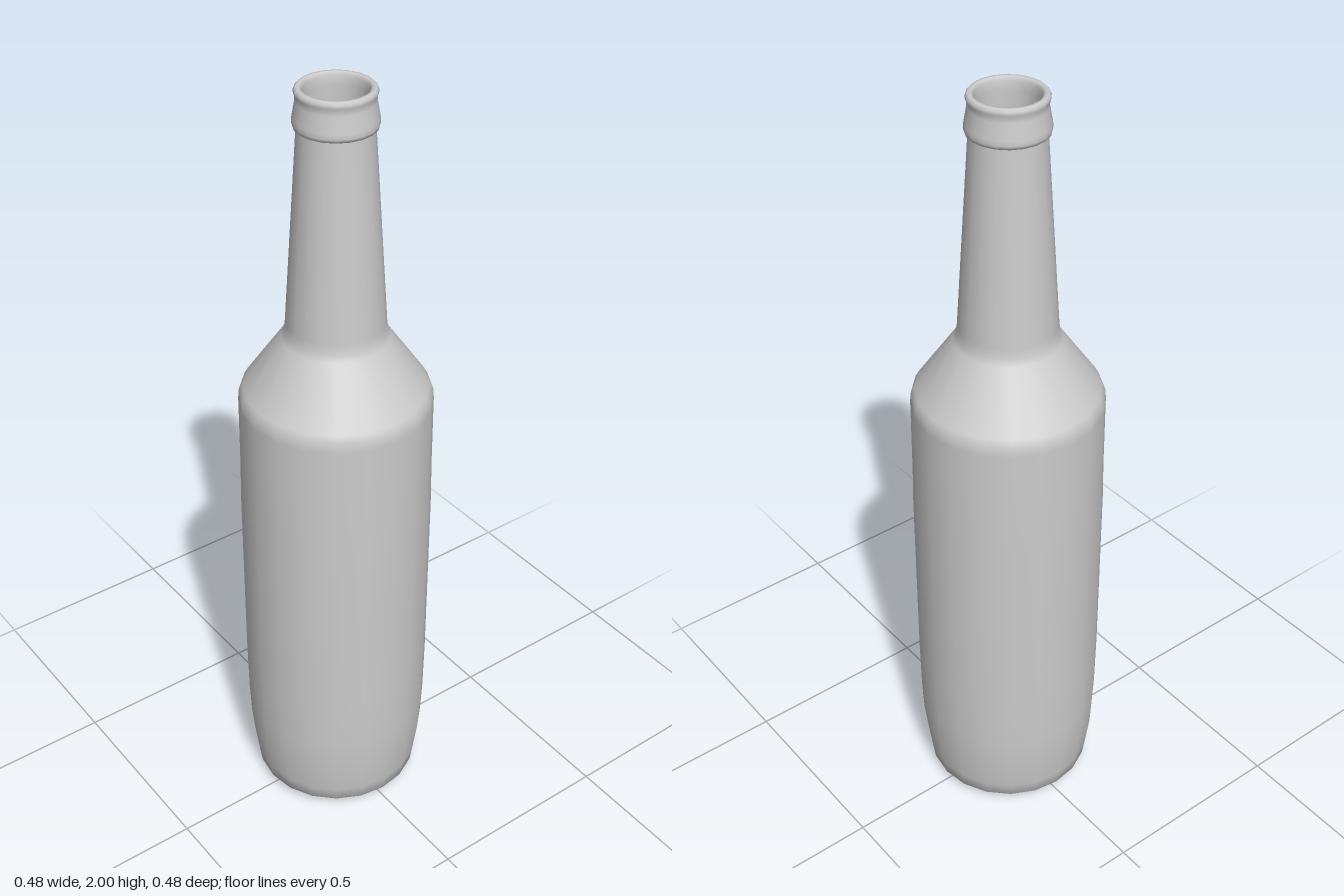
import * as THREE from 'three';

const SIDES = 20;

// Revolve a list of [radius, height] pairs around the y axis
function lathe(name, profile, material) {
  const points = profile.map(([r, y]) => new THREE.Vector2(r, y));
  const mesh = new THREE.Mesh(new THREE.LatheGeometry(points, SIDES), material);
  mesh.name = name;
  return mesh;
}

export function createModel() {
  const group = new THREE.Group();
  group.name = 'bottle';
  const glass = new THREE.MeshStandardMaterial({ color: 0xcccccc, side: THREE.DoubleSide });

  // Base, body, shoulder and tapering neck
  group.add(lathe('outerBody', [
    [0, 0], [0.17, 0], [0.188, 0.006], [0.216, 0.03], [0.222, 0.07], [0.234, 0.16], [0.238, 0.25],
    [0.24, 0.4], [0.24, 0.9], [0.238, 1.0], [0.237, 1.2], [0.235, 1.225], [0.226, 1.242],
    [0.131, 1.38], [0.123, 1.396], [0.12, 1.42], [0.09, 1.88], [0.088, 1.912],
  ], glass));

  // Lip: flared collar, slight waist, rounded rim
  group.add(lathe('lip', [
    [0.088, 1.91], [0.096, 1.91], [0.098, 1.918], [0.097, 1.93], [0.09, 1.968], [0.09, 1.98],
    [0.093, 1.986], [0.093, 1.994], [0.088, 2], [0.08, 2], [0.074, 1.992], [0.074, 1.97],
  ], glass));

  // Hollow inside, running from the mouth down to the floor
  group.add(lathe('innerWall', [
    [0.074, 1.97], [0.074, 1.9], [0.104, 1.42], [0.112, 1.385], [0.21, 1.235], [0.22, 1.2],
    [0.22, 0.2], [0.2, 0.06], [0.15, 0.035], [0, 0.025],
  ], glass));

  return group;
}
